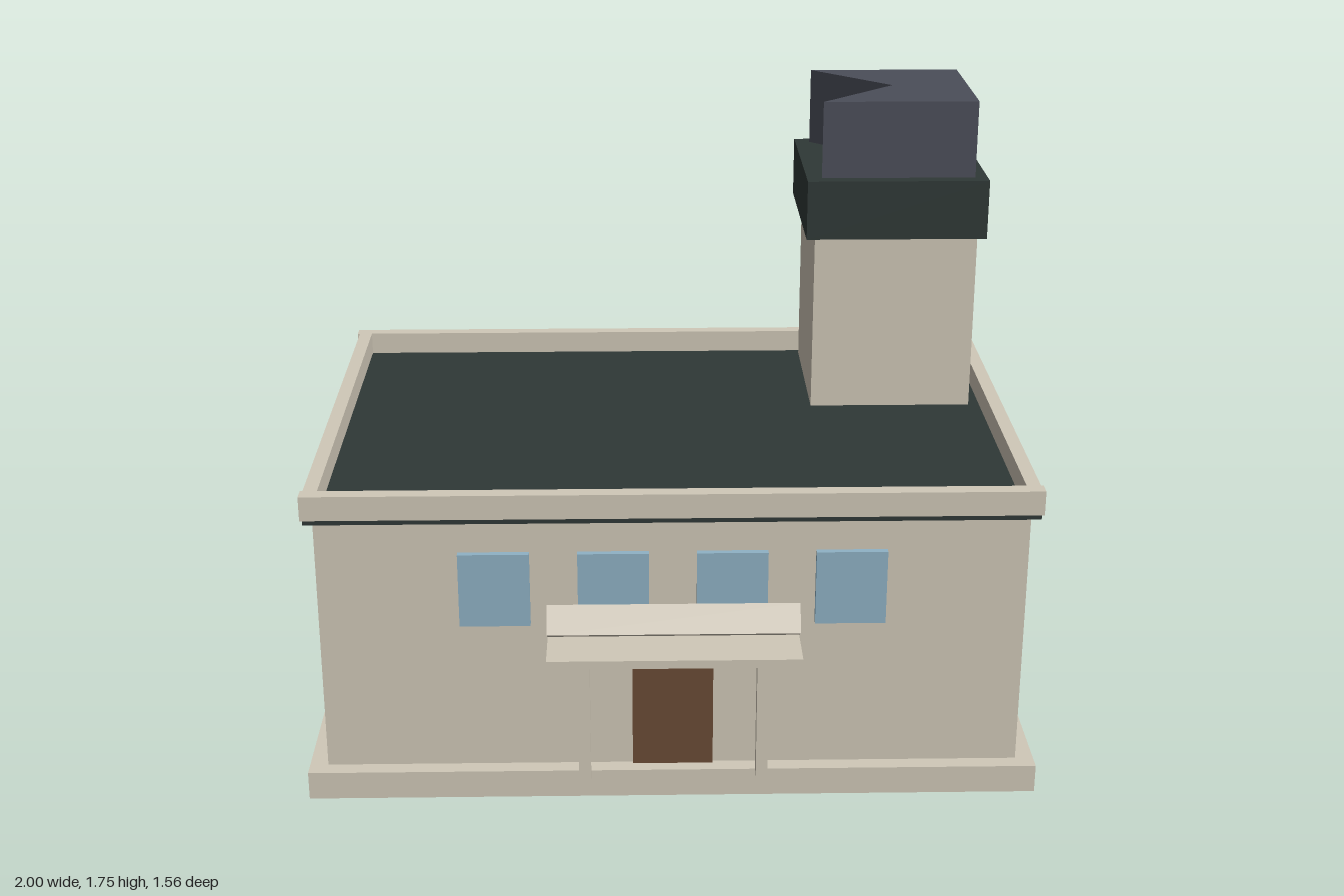
import * as THREE from 'three';

const paint = (name, color) => {
  const m = new THREE.MeshStandardMaterial({ color });
  m.name = name;
  return m;
};

export function createModel() {
  const stone = paint('stone', 0xd0c8b8);
  const roofing = paint('darkRoofing', 0x2f3836);
  const slate = paint('slate', 0x4b4e59);
  const glass = paint('glass', 0x8fb2c5);
  const wood = paint('wood', 0x6a4b35);

  const model = new THREE.Group();
  model.name = 'building';

  // box given by its limits on each axis
  const box = (name, mat, [x0, x1], [y0, y1], [z0, z1]) => {
    const mesh = new THREE.Mesh(new THREE.BoxGeometry(x1 - x0, y1 - y0, z1 - z0), mat);
    mesh.position.set((x0 + x1) / 2, (y0 + y1) / 2, (z0 + z1) / 2);
    mesh.name = name;
    model.add(mesh);
    return mesh;
  };

  // main block
  box('plinth', stone, [-1, 1], [0, 0.08], [-0.78, 0.585]);
  box('walls', stone, [-0.95, 0.95], [0.08, 0.815], [-0.73, 0.54]);
  box('roofSlab', roofing, [-0.973, 0.973], [0.812, 0.835], [-0.75, 0.563]);

  // parapet around the roof
  box('backParapet', stone, [-0.977, 0.977], [0.832, 0.9], [-0.776, -0.738]);
  box('frontParapet', stone, [-0.977, 0.977], [0.832, 0.9], [0.54, 0.581]);
  for (const [a, b] of [[-0.97, -0.932], [0.932, 0.97]])
    box('sideParapet', stone, [a, b], [0.832, 0.9], [-0.738, 0.54]);

  // four windows on the front and on the back
  for (const x of [-0.477, -0.159, 0.159, 0.477]) {
    box('frontWindow', glass, [x - 0.095, x + 0.095], [0.51, 0.72], [0.535, 0.558]);
    box('backWindow', glass, [x - 0.095, x + 0.095], [0.51, 0.72], [-0.748, -0.725]);
  }

  // entrance with posts and canopy
  box('door', wood, [-0.11, 0.11], [0.08, 0.462], [0.535, 0.549]);
  for (const x of [-0.24, 0.24])
    box('canopyPost', stone, [x - 0.016, x + 0.016], [0.08, 0.497], [0.603, 0.638]);
  box('canopySlab', stone, [-0.333, 0.333], [0.495, 0.518], [0.535, 0.78]);
  const awning = box('canopyAwning', stone, [-0.333, 0.333], [-0.04, 0.04], [-0.07, 0.07]);
  awning.position.set(0, 0.55, 0.614);
  awning.rotation.x = -Math.PI / 6;

  // tower
  box('towerShaft', stone, [0.428, 0.9], [0.83, 1.356], [-0.713, -0.237]);
  box('towerSlitWindow', slate, [0.895, 0.938], [0.99, 1.21], [-0.484, -0.466]);
  box('towerCap', roofing, [0.402, 0.924], [1.355, 1.527], [-0.737, -0.215]);

  // notched top block: plan outline (x, -z) extruded upwards
  const plan = new THREE.Shape([
    [0.445, 0.255], [0.888, 0.255], [0.888, 0.697], [0.445, 0.697], [0.666, 0.476],
  ].map(([x, y]) => new THREE.Vector2(x, y)));
  const top = new THREE.Mesh(
    new THREE.ExtrudeGeometry(plan, { depth: 0.222, bevelEnabled: false }), slate);
  top.rotation.x = -Math.PI / 2;
  top.position.y = 1.527;
  top.name = 'towerTop';
  model.add(top);

  return model;
}
